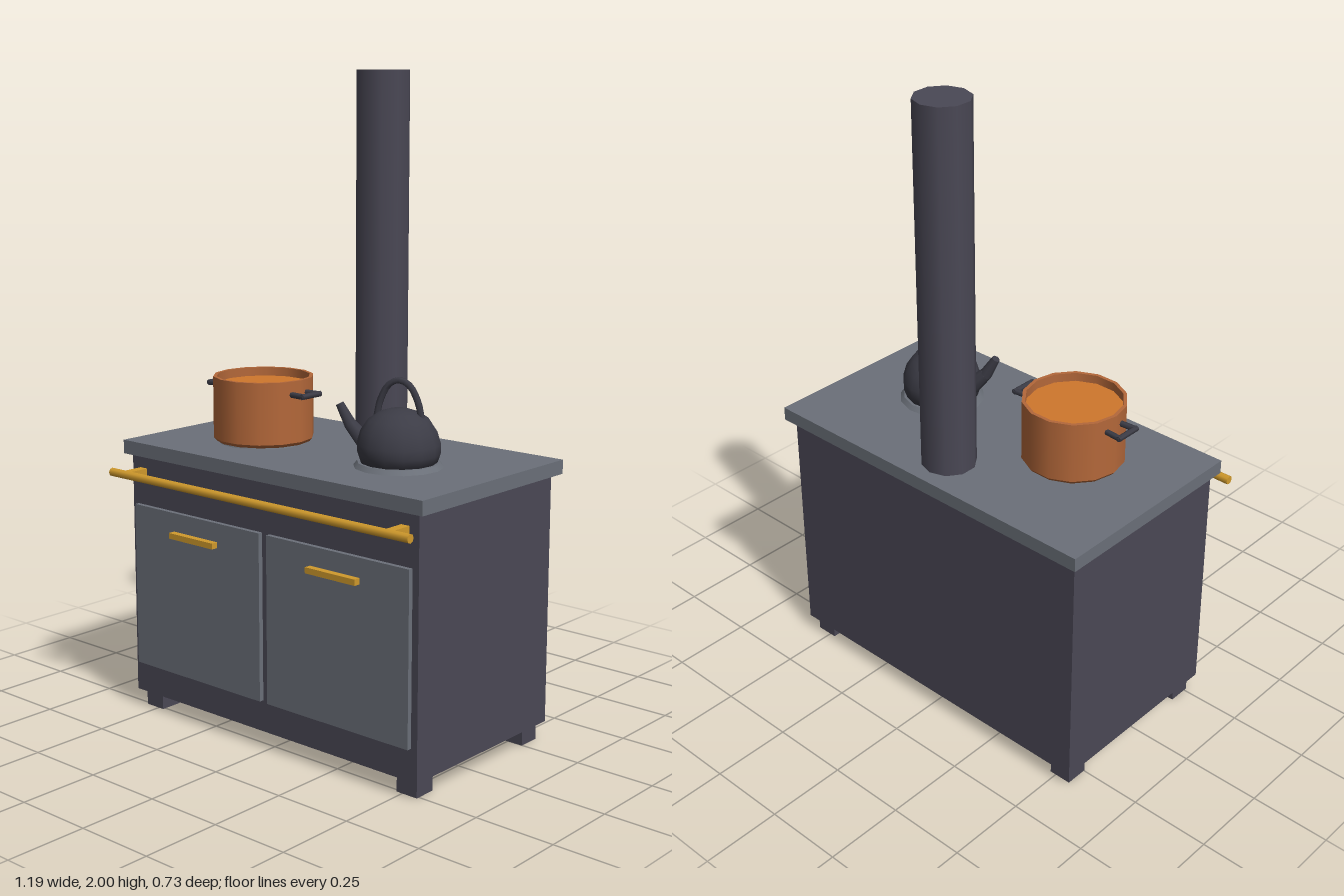
import * as THREE from 'three';

const mat = (name, color) => {
  const m = new THREE.MeshStandardMaterial({ color });
  m.name = name;
  return m;
};

export function createModel() {
  const iron = mat('dark iron', 0x4a4855);
  const steel = mat('grey steel', 0x6b7079);
  const brass = mat('brass', 0xd09a2c);
  const copper = mat('copper', 0xb4683a);
  const soup = mat('orange soup', 0xcf772c);
  const black = mat('black enamel', 0x3c3c46);

  const model = new THREE.Group();
  model.name = 'stove';

  const add = (parent, name, geo, material) => {
    const mesh = new THREE.Mesh(geo, material);
    mesh.name = name;
    parent.add(mesh);
    return mesh;
  };
  // Box given by its min and max on each axis
  const box = (parent, name, material, [x0, x1], [y0, y1], [z0, z1]) => {
    const geo = new THREE.BoxGeometry(x1 - x0, y1 - y0, z1 - z0);
    geo.translate((x0 + x1) / 2, (y0 + y1) / 2, (z0 + z1) / 2);
    return add(parent, name, geo, material);
  };
  // Tapered rod between two points
  const rod = (parent, name, material, a, b, ra, rb, sides = 8) => {
    const from = new THREE.Vector3(...a), to = new THREE.Vector3(...b);
    const dir = to.clone().sub(from);
    const mesh = add(parent, name, new THREE.CylinderGeometry(rb, ra, dir.length(), sides), material);
    mesh.position.copy(from).add(to).multiplyScalar(0.5);
    mesh.quaternion.setFromUnitVectors(new THREE.Vector3(0, 1, 0), dir.normalize());
    return mesh;
  };
  const lathe = (points, sides, start = 0) =>
    new THREE.LatheGeometry(points.map(([r, y]) => new THREE.Vector2(r, y)), sides, start);

  // Cabinet and worktop
  box(model, 'cabinet', iron, [-0.57, 0.57], [0.055, 0.826], [-0.342, 0.283]);
  box(model, 'worktop', steel, [-0.593, 0.593], [0.826, 0.869], [-0.368, 0.3]);

  // Feet, doors, handles and rail brackets, mirrored left and right
  for (const s of [-1, 1]) {
    const span = (a, b) => (s > 0 ? [a, b] : [-b, -a]);
    box(model, 'frontFoot', iron, span(0.48, 0.552), [0, 0.055], [0.188, 0.26]);
    box(model, 'backFoot', iron, span(0.48, 0.552), [0, 0.055], [-0.32, -0.248]);
    box(model, 'door', steel, span(0.015, 0.548), [0.153, 0.67], [0.28, 0.298]);
    box(model, 'doorHandle', brass, span(0.187, 0.373), [0.594, 0.612], [0.296, 0.32]);
    box(model, 'railBracket', brass, span(0.507, 0.536), [0.766, 0.787], [0.28, 0.35]);
  }
  rod(model, 'rail', brass, [-0.593, 0.775, 0.35], [0.593, 0.775, 0.35], 0.0135, 0.0135);

  // Stove pipe
  const pipe = add(model, 'stovePipe', new THREE.CylinderGeometry(0.083, 0.083, 1.135, 10), iron);
  pipe.position.set(0, 1.4325, -0.243);

  // Cooking pot on its burner
  const pot = new THREE.Group();
  pot.name = 'cookingPot';
  pot.position.set(-0.259, 0.869, 0.017);
  model.add(pot);
  const half = Math.PI / 14;
  add(pot, 'potBurner', new THREE.CylinderGeometry(0.133, 0.14, 0.012, 14).translate(0, 0.006, 0), steel);
  add(pot, 'potBase', lathe([[0, 0.006], [0.148, 0.006], [0.156, 0.016]], 14, half), copper);
  add(pot, 'potWall', lathe([[0.156, 0.016], [0.156, 0.207]], 14, half), copper);
  add(pot, 'potRim', lathe([[0.156, 0.207], [0.145, 0.207]], 14, half), copper);
  add(pot, 'potInside', lathe([[0.145, 0.207], [0.145, 0.17]], 14, half), copper);
  add(pot, 'soup', new THREE.CircleGeometry(0.146, 14).rotateX(-Math.PI / 2).translate(0, 0.18, 0), soup);
  for (const s of [-1, 1]) {
    const y = 0.166;
    for (const z of [-1, 1]) {
      rod(pot, 'potHandleArm', black, [s * 0.148, y, z * 0.032], [s * 0.202, y, z * 0.036], 0.009, 0.009, 6);
    }
    rod(pot, 'potHandleGrip', black, [s * 0.198, y, -0.042], [s * 0.198, y, 0.042], 0.009, 0.009, 6);
  }

  // Kettle on its burner, spout turned towards the front right
  const kettle = new THREE.Group();
  kettle.name = 'kettle';
  kettle.position.set(0.281, 0.869, 0.017);
  kettle.rotation.y = 0.345;
  model.add(kettle);
  add(kettle, 'kettleBurner', new THREE.CylinderGeometry(0.122, 0.133, 0.014, 14).translate(0, 0.007, 0), steel);
  add(kettle, 'kettleBody', lathe([
    [0, 0.008], [0.112, 0.01], [0.122, 0.04], [0.123, 0.068], [0.112, 0.105],
    [0.09, 0.138], [0.06, 0.158], [0.03, 0.168], [0, 0.17],
  ], 14), black);
  rod(kettle, 'spoutBase', black, [-0.1, 0.058, 0], [-0.15, 0.112, 0], 0.028, 0.02);
  rod(kettle, 'spoutTip', black, [-0.148, 0.108, 0], [-0.184, 0.172, 0], 0.02, 0.013);

  // Arched kettle handle
  const arch = new THREE.CatmullRomCurve3([
    [-0.068, 0.145], [-0.058, 0.19], [-0.032, 0.238], [0, 0.253],
    [0.032, 0.238], [0.058, 0.19], [0.068, 0.145],
  ].map(([x, y]) => new THREE.Vector3(x, y, 0)));
  add(kettle, 'kettleHandle', new THREE.TubeGeometry(arch, 16, 0.01, 6), black);

  return model;
}
